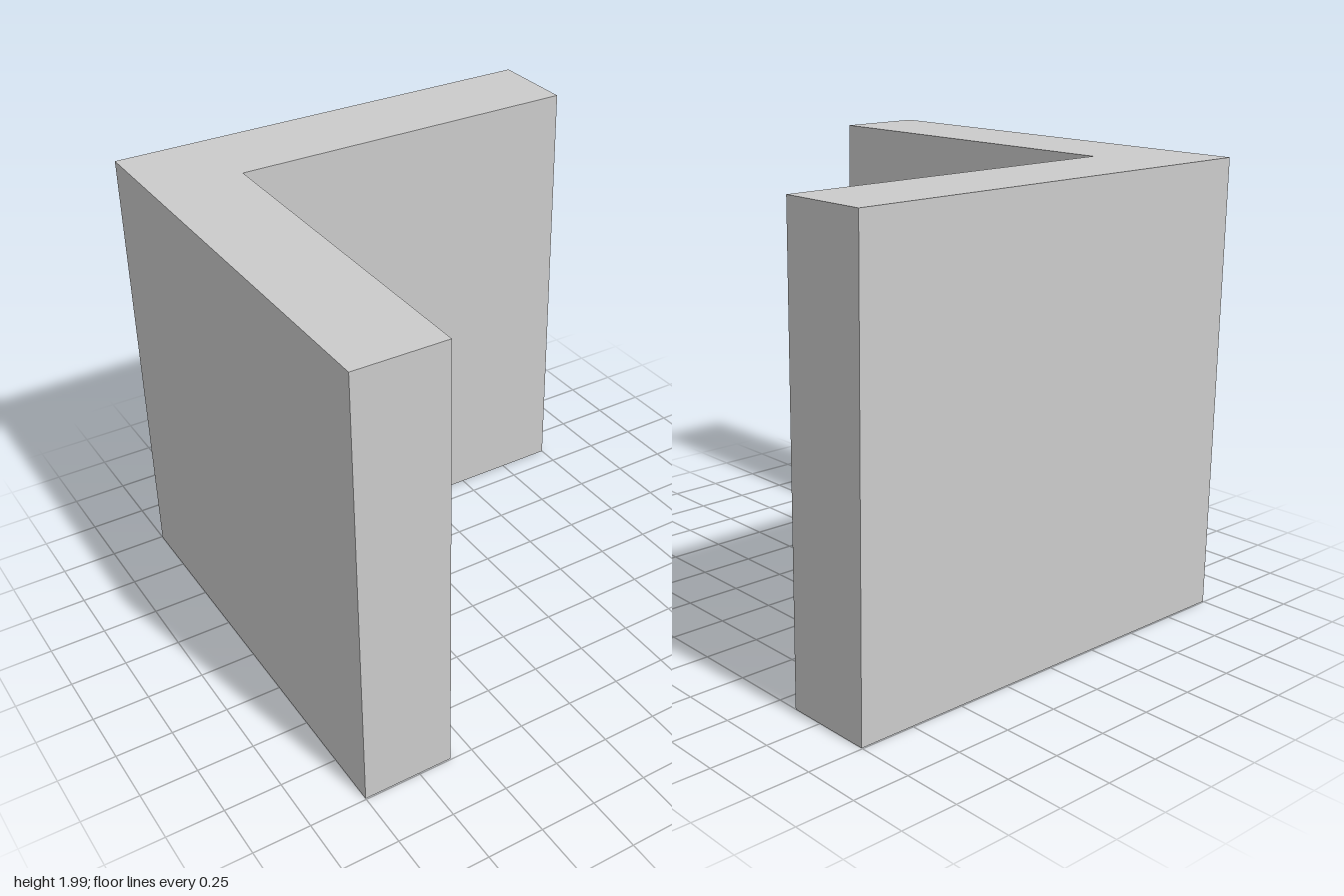
import * as THREE from 'three';

export function createModel() {
  const group = new THREE.Group();
  group.name = 'cornerWall';

  const halfX = 1, halfZ = 0.995, height = 1.99, inner = 0.6;

  // L-shaped footprint, drawn with shape y = -z
  const footprint = new THREE.Shape([
    [-halfX, -halfZ], [-inner, -halfZ], [-inner, inner],
    [halfX, inner], [halfX, halfZ], [-halfX, halfZ],
  ].map(([x, y]) => new THREE.Vector2(x, y)));

  // Both walls, raised from the footprint as one solid
  const geometry = new THREE.ExtrudeGeometry(footprint, { depth: height, bevelEnabled: false });
  geometry.rotateX(-Math.PI / 2);

  const walls = new THREE.Mesh(geometry, new THREE.MeshStandardMaterial({ color: 0xcccccc }));
  walls.name = 'walls';
  group.add(walls);
  return group;
}
